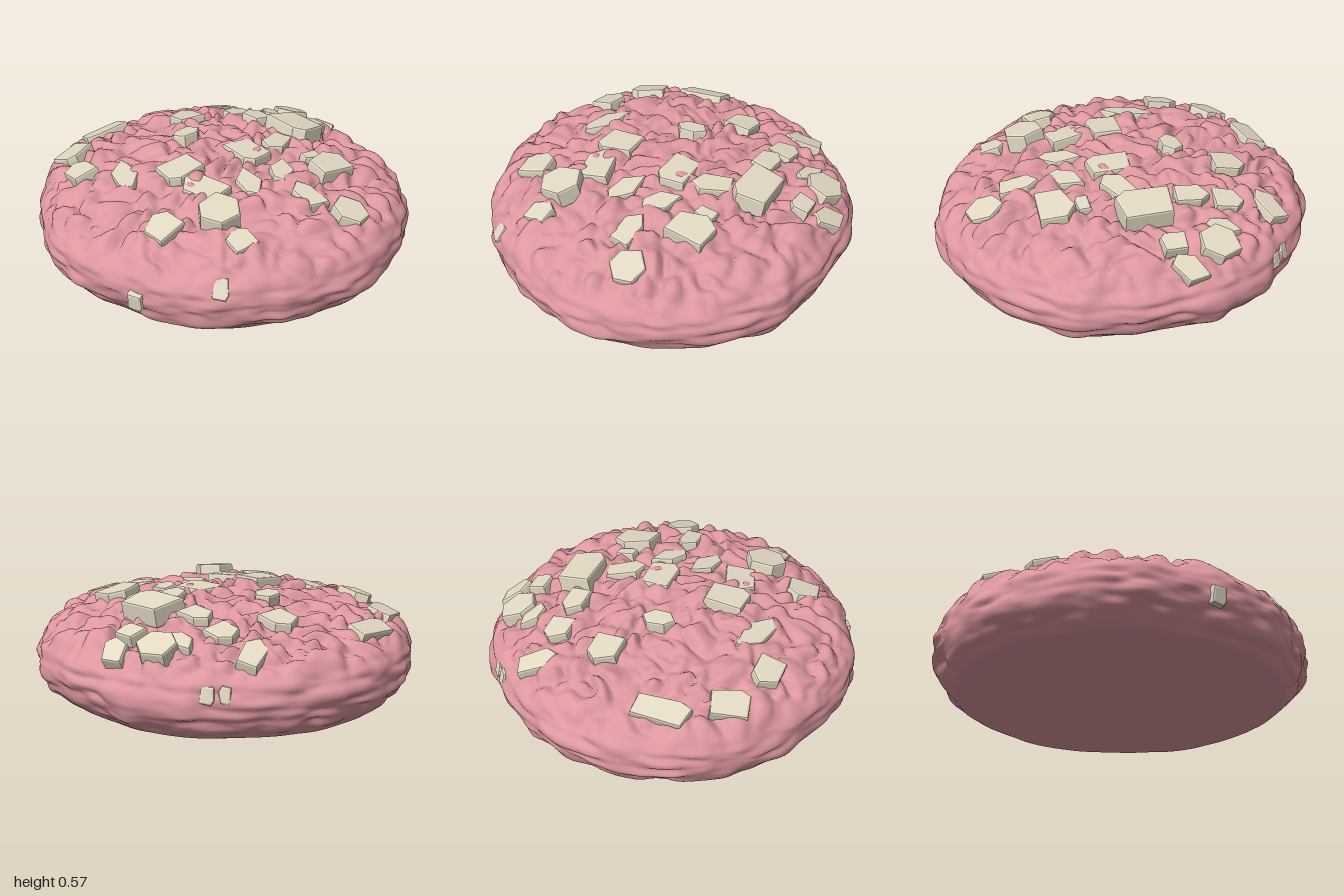
import * as THREE from 'three';
import { mergeVertices } from 'three/addons/utils/BufferGeometryUtils.js';

// Seeded lattice hash and smooth noise in the range -1..1
function hash(x, y, z) {
  let h = Math.imul(x, 374761393) ^ Math.imul(y, 668265263) ^ Math.imul(z, 1274126177);
  h = Math.imul(h ^ (h >>> 13), 1103515245);
  h = Math.imul(h ^ (h >>> 15), 2246822519);
  return ((h ^ (h >>> 14)) >>> 0) / 2147483648 - 1;
}

function noise(x, y, z) {
  const [ix, iy, iz] = [x, y, z].map(Math.floor);
  const fade = (t) => t * t * (3 - 2 * t);
  const u = fade(x - ix), v = fade(y - iy), w = fade(z - iz);
  const mix = THREE.MathUtils.lerp;
  const edge = (j, k) => mix(hash(ix, iy + j, iz + k), hash(ix + 1, iy + j, iz + k), u);
  return mix(mix(edge(0, 0), edge(1, 0), v), mix(edge(0, 1), edge(1, 1), v), w);
}

// Cookie half profile (rim radius about 1): flat base, bulging rim, low domed top
const PROFILE = new THREE.SplineCurve([
  [0.875, 0.005], [0.94, 0.06], [0.985, 0.13], [1, 0.21], [0.98, 0.29], [0.91, 0.36],
  [0.79, 0.413], [0.6, 0.462], [0.35, 0.502], [0.15, 0.52], [0, 0.522],
].map(([x, y]) => new THREE.Vector2(x, y))).getSpacedPoints(120);

// Uneven outline: radius every 15 degrees, from the front towards the left
const OUTLINE = [
  0.963, 0.938, 0.945, 0.957, 0.95, 0.968, 0.98, 0.985, 0.99, 0.99, 0.995, 0.965,
  0.957, 0.975, 0.985, 0.97, 0.985, 0.995, 0.993, 0.99, 1.0, 0.98, 0.95, 0.98,
];

function outlineRadius(angle) {
  const t = THREE.MathUtils.euclideanModulo(angle / (Math.PI * 2), 1) * OUTLINE.length;
  const i = Math.floor(t), f = t - i;
  const blend = f * f * (3 - 2 * f);
  return THREE.MathUtils.lerp(OUTLINE[i % OUTLINE.length], OUTLINE[(i + 1) % OUTLINE.length], blend);
}

// Outward normal of the profile at index i
function profileNormal(i) {
  const a = PROFILE[Math.max(i - 1, 0)], b = PROFILE[Math.min(i + 1, PROFILE.length - 1)];
  return new THREE.Vector2(b.y - a.y, a.x - b.x).normalize();
}

// Crumpled dough: puffy folds on top, horizontal wrinkles round the rim
function relief(x, y, z) {
  const top = THREE.MathUtils.smoothstep(y, 0.25, 0.41);
  const wx = x + 0.06 * noise(x * 5, 3.3, z * 5), wz = z + 0.06 * noise(x * 5, 8.1, z * 5);
  const rx = 0.8 * wx - 0.6 * wz, rz = 0.6 * wx + 0.8 * wz;
  const folds = 0.07 * (Math.abs(noise(wx * 7, 1.7, wz * 7)) - 0.28)
    + 0.065 * (Math.abs(noise(rx * 12, 5.2, rz * 12)) - 0.28)
    + 0.012 * noise(rx * 26, 2.4, rz * 26);
  const centre = THREE.MathUtils.smoothstep(Math.hypot(x, z), -0.02, 0.12);
  const capped = 0.045 * Math.tanh(folds / 0.045) * centre;
  const wrinkles = 0.013 * noise(x * 10, y * 3, z * 10)
    + 0.024 * (Math.abs(noise(x * 4, y * 14, z * 4)) - 0.35)
    + 0.01 * noise(x * 8, y * 34, z * 8);
  return THREE.MathUtils.lerp(wrinkles, capped, top) * THREE.MathUtils.smoothstep(y, -0.03, 0.1);
}

function surfacePoint(i, angle) {
  const p = PROFILE[i], n = profileNormal(i), s = Math.sin(angle), c = Math.cos(angle);
  const d = relief(p.x * s, p.y, p.x * c);
  const r = i === PROFILE.length - 1 ? 0 : (p.x + n.x * d) * outlineRadius(angle);
  return new THREE.Vector3(r * s, Math.max(p.y + n.y * d, 0), r * c);
}

function makeDough(material) {
  const base = [0, 0.4, 0.8, 0.86].map((r) => new THREE.Vector2(r, 0));
  const segments = 280, rows = base.length + PROFILE.length;
  const geometry = new THREE.LatheGeometry([...base, ...PROFILE], segments);
  const position = geometry.attributes.position;
  for (let s = 0; s <= segments; s++) {
    const angle = ((s % segments) / segments) * Math.PI * 2;
    base.forEach((p, i) => {
      const r = p.x * outlineRadius(angle);
      position.setXYZ(s * rows + i, r * Math.sin(angle), 0, r * Math.cos(angle));
    });
    for (let i = 0; i < PROFILE.length; i++) {
      const p = surfacePoint(i, angle);
      position.setXYZ(s * rows + base.length + i, p.x, p.y, p.z);
    }
  }
  geometry.deleteAttribute('uv');
  geometry.deleteAttribute('normal');
  const merged = mergeVertices(geometry, 1e-5);
  merged.computeVertexNormals();
  const mesh = new THREE.Mesh(merged, material);
  mesh.name = 'cookieDough';
  return mesh;
}

// Irregular chunk outlines in a unit square
const CHUNK_SHAPES = [
  [[-0.5, -0.3], [0.05, -0.5], [0.5, -0.2], [0.45, 0.3], [-0.05, 0.5], [-0.45, 0.25]],
  [[-0.4, -0.5], [0.45, -0.45], [0.5, 0.3], [0.3, 0.5], [-0.5, 0.4]],
  [[-0.5, -0.2], [-0.2, -0.5], [0.5, -0.4], [0.4, 0.5], [-0.3, 0.4]],
  [[-0.5, -0.4], [0.1, -0.5], [0.5, 0.2], [0.3, 0.5], [-0.2, 0.35]],
].map((list) => list.map(([x, y]) => new THREE.Vector2(x, y)));

// Chunks: x, z, width, depth, shape, turn, lift above the dough
const BACK_CHUNKS = [
  [-0.63, -0.53, 0.16, 0.2, 3, 0, 0.035], [-0.41, -0.49, 0.16, 0.15, 2, 0, 0.025],
  [-0.25, -0.77, 0.19, 0.2, 0, 0, 0.05], [-0.31, -0.67, 0.17, 0.11, 3, 0, 0.025],
  [-0.22, -0.46, 0.18, 0.13, 2, 0, 0.035], [-0.07, -0.86, 0.17, 0.15, 3, 0, 0.03],
  [-0.04, -0.73, 0.13, 0.11, 1, 0, 0.03], [0.03, -0.51, 0.28, 0.2, 1, 0, 0.075],
  [0.1, -0.3, 0.17, 0.2, 3, 0, 0.035], [0.3, -0.36, 0.07, 0.11, 1, 0, 0.025],
  [0.44, -0.35, 0.19, 0.23, 2, 0, 0.05], [0.755, -0.17, 0.18, 0.18, 0, 0.3, 0.035],
  [0.56, -0.07, 0.21, 0.12, 2, 0, 0.025], [-0.53, -0.2, 0.18, 0.17, 2, 0, 0.035],
];
const FRONT_CHUNKS = [
  [0.325, -0.12, 0.2, 0.13, 3, -0.4, 0.02], [0.086, -0.1, 0.23, 0.17, 1, 0, 0.04],
  [-0.28, 0, 0.11, 0.17, 0, 0, 0.03], [-0.8, 0.17, 0.13, 0.28, 1, 0, 0.04],
  [0.31, 0.09, 0.23, 0.13, 3, -0.1, 0.015], [0, 0.28, 0.18, 0.22, 1, 0, 0.035],
  [0.2, 0.3, 0.25, 0.17, 2, 0.3, 0.035], [0.42, 0.39, 0.2, 0.22, 0, 0, 0.06],
  [0.6, 0.42, 0.14, 0.14, 2, 0, 0.035], [0.28, 0.63, 0.17, 0.18, 2, 0.2, 0.03],
  [-0.2, 0.49, 0.29, 0.14, 3, -0.2, 0.035], [-0.68, 0.47, 0.15, 0.2, 1, 0.3, 0.03],
  [-0.43, 0.59, 0.18, 0.15, 2, 0, 0.04],
];
// Rim pieces also give their height
const RIM_CHUNKS = [
  [0.66, 0.6, 0.08, 0.11, 1, 0, 0.005, 0.295], [0.365, 0.87, 0.08, 0.1, 1, 0, 0.015, 0.17],
  [-0.57, -0.79, 0.07, 0.09, 1, 0, 0.015, 0.25], [-0.64, -0.745, 0.06, 0.09, 2, 0, 0.015, 0.25],
];

function makeChunk([x, z, w, d, shape, turn, lift, height = 0.43], material) {
  const thick = 0.085, bevel = 0.011, onRim = height < 0.4;
  const points = CHUNK_SHAPES[shape].map((p) =>
    new THREE.Vector2(p.x * (w - 2 * bevel), -p.y * (d - 2 * bevel)));
  const geometry = new THREE.ExtrudeGeometry(new THREE.Shape(points), {
    depth: thick, bevelThickness: bevel, bevelSize: bevel, bevelSegments: 2,
  });
  geometry.translate(0, 0, -thick - bevel).rotateX(-Math.PI / 2).rotateY(turn);

  // Find the nearest profile point, then lay the chunk along its slope
  const angle = Math.atan2(x, z), radius = Math.hypot(x, z) / outlineRadius(angle);
  const miss = (p) => Math.abs(p.x - radius) + (onRim || p.y < 0.34 ? 2 : 0.1) * Math.abs(p.y - height);
  const best = PROFILE.reduce((b, p, i) => (miss(p) < miss(PROFILE[b]) ? i : b), 0);
  const slope = profileNormal(best), r = PROFILE[best].x * outlineRadius(angle);
  const normal = new THREE.Vector3(slope.x * Math.sin(angle), slope.y, slope.x * Math.cos(angle));
  const mesh = new THREE.Mesh(geometry, material);
  mesh.position.set(r * Math.sin(angle), PROFILE[best].y, r * Math.cos(angle))
    .lerp(surfacePoint(best, angle), onRim ? 1 : 0.5).addScaledVector(normal, lift);
  if (onRim) {
    // Rim pieces stand upright, facing outward
    mesh.rotation.set(Math.acos(slope.y), angle, 0, 'YXZ');
  } else {
    mesh.quaternion.setFromUnitVectors(new THREE.Vector3(0, 1, 0), normal);
  }
  return mesh;
}

export function createModel() {
  const group = new THREE.Group();
  group.name = 'cookie';
  const pink = new THREE.MeshStandardMaterial({ color: 0xdd979f });
  pink.name = 'pinkDough';
  const cream = new THREE.MeshStandardMaterial({ color: 0xe3dac4 });
  cream.name = 'creamChunk';

  group.add(makeDough(pink));
  [...BACK_CHUNKS, ...FRONT_CHUNKS, ...RIM_CHUNKS].forEach((spec, i) => {
    const chunk = makeChunk(spec, cream);
    chunk.name = `chunk${i + 1}`;
    group.add(chunk);
  });
  return group;
}
